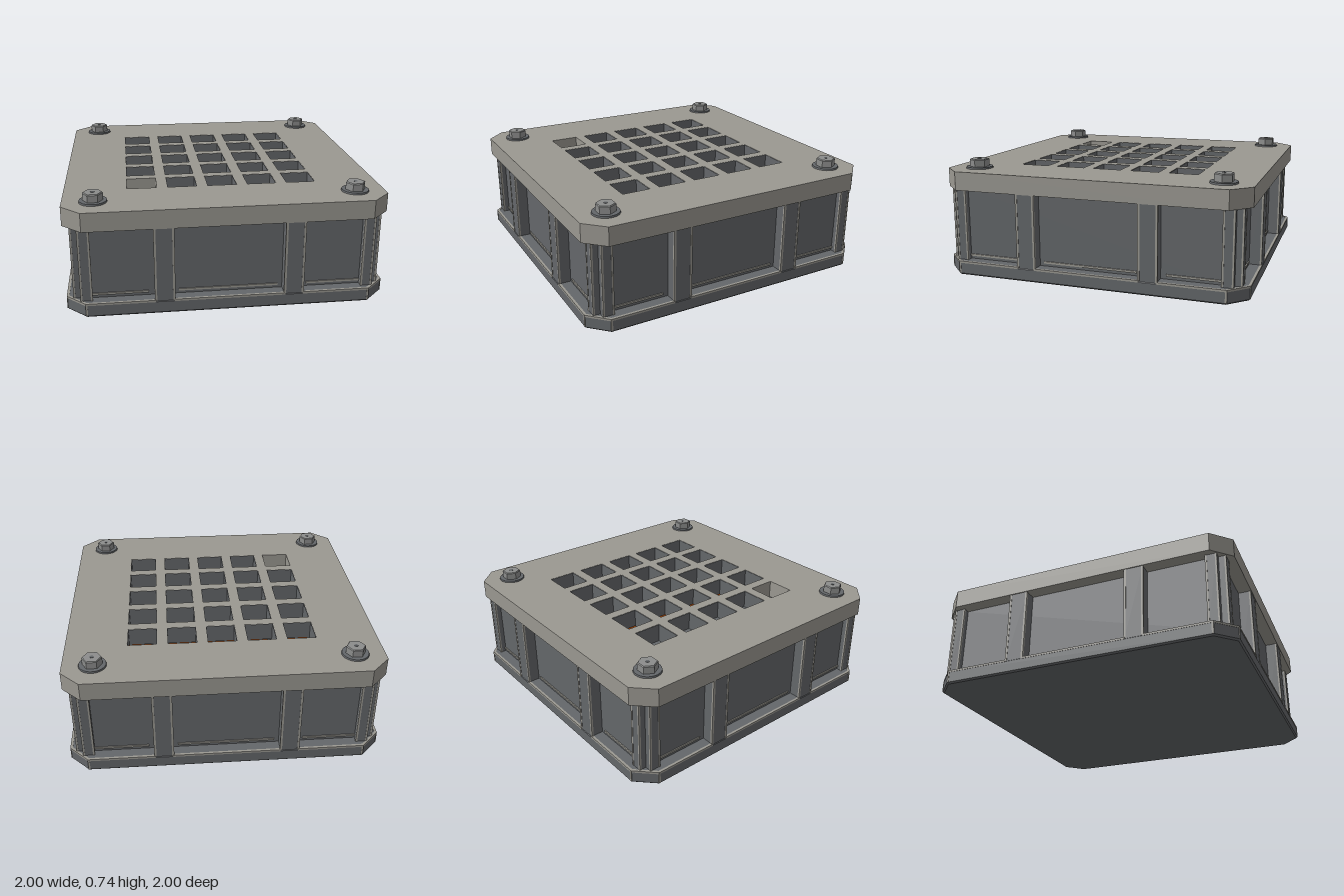
import * as THREE from 'three';

const mat = (name, color) => {
  const m = new THREE.MeshStandardMaterial({ color });
  m.name = name;
  return m;
};

// Square outline with cut corners, given its half width and where the cut starts
function octagon(h, c) {
  return new THREE.Shape([
    [c, -h], [h, -c], [h, c], [c, h], [-c, h], [-h, c], [-h, -c], [-c, -h],
  ].map(([x, y]) => new THREE.Vector2(x, y)));
}

// Square path used for holes and liners
function square(Type, x, y, h) {
  return new Type([[-h, -h], [h, -h], [h, h], [-h, h]]
    .map(([a, b]) => new THREE.Vector2(x + a, y + b)));
}

// Extrude an outline upwards from y0 to y1
function slab(shape, y0, y1) {
  const g = new THREE.ExtrudeGeometry(shape, { depth: y1 - y0, bevelEnabled: false });
  return g.rotateX(-Math.PI / 2).translate(0, y0, 0);
}

export function createModel() {
  const model = new THREE.Group();
  model.name = 'ventedBox';
  const lidGrey = mat('lid grey', 0x9a9891);
  const bodyGrey = mat('body grey', 0x64676a);
  const rust = mat('rust orange', 0x7d3200);
  const steel = mat('bolt steel', 0x8c8d8c);

  const add = (parent, name, geometry, material) => {
    const m = new THREE.Mesh(geometry, material);
    m.name = name;
    parent.add(m);
    return m;
  };
  // Box given by its limits on each axis
  const block = (parent, name, material, x0, x1, y0, y1, z0, z1) => {
    const g = new THREE.BoxGeometry(x1 - x0, y1 - y0, z1 - z0);
    g.translate((x0 + x1) / 2, (y0 + y1) / 2, (z0 + z1) / 2);
    return add(parent, name, g, material);
  };

  // Base plate with a small lower bevel
  const base = new THREE.ExtrudeGeometry(octagon(0.988, 0.875), {
    depth: 0.07, bevelSize: 0.01, bevelThickness: 0.01, bevelSegments: 1,
  });
  add(model, 'basePlate', base.rotateX(-Math.PI / 2).translate(0, 0.01, 0), bodyGrey);

  // Recessed walls around the inner well
  const wall = octagon(0.915, 0.84);
  wall.holes.push(square(THREE.Path, 0, 0, 0.63));
  add(model, 'walls', slab(wall, 0.085, 0.56), bodyGrey);
  block(model, 'filter', rust, -0.63, 0.63, 0.09, 0.48, -0.63, 0.63);
  for (const s of [-1, 1]) {
    block(model, 'innerBeam', bodyGrey, s * 0.4 - 0.06, s * 0.4 + 0.06, 0.48, 0.558, -0.63, 0.63);
  }

  // Posts and worn edges of one wall, repeated on four sides
  const w = 0.007; // half width of a worn edge
  for (let i = 0; i < 4; i++) {
    const side = new THREE.Group();
    side.name = 'wallSide';
    side.rotation.y = i * Math.PI / 2;
    model.add(side);
    for (const s of [-1, 1]) {
      const x = s * 0.4;
      block(side, 'post', bodyGrey, x - 0.06, x + 0.06, 0.07, 0.56, 0.9, 0.994);
      for (const t of [-1, 1]) {
        const c = x + t * 0.056;
        block(side, 'postEdge', lidGrey, c - w, c + w, 0.085, 0.56, 0.983, 0.996);
      }
      block(side, 'baseCornerEdge', lidGrey, s * 0.876 - 0.006, s * 0.876 + 0.006, 0.012, 0.085, 0.985, 1);
    }
    for (const [a, b, inset] of [[-0.88, -0.455, 0.04], [-0.345, 0.345, 0.035], [0.455, 0.88, 0.04]]) {
      block(side, 'baseEdge', lidGrey, a, b, 0.079, 0.092, 0.984, 1);
      block(side, 'panelTrim', lidGrey, a + inset, b - inset, 0.108, 0.121, 0.91, 0.922);
    }

    // Stepped corner post with worn vertical edges
    block(side, 'cornerPost', bodyGrey, 0.84, 0.955, 0.07, 0.56, 0.84, 0.91);
    block(side, 'cornerPost', bodyGrey, 0.84, 0.91, 0.07, 0.56, 0.9, 0.955);
    for (const [x, z] of [[0.844, 0.951], [0.906, 0.951], [0.951, 0.906], [0.951, 0.844]]) {
      block(side, 'cornerPostEdge', lidGrey, x - 0.006, x + 0.006, 0.085, 0.56, z - 0.006, z + 0.006);
    }

    // Worn top edge of the cut corner of the base
    const corner = new THREE.Group();
    corner.name = 'corner';
    corner.rotation.y = i * Math.PI / 2 + Math.PI / 4;
    model.add(corner);
    block(corner, 'cornerBaseEdge', lidGrey, -0.084, 0.084, 0.079, 0.092, 1.313, 1.3293);
  }

  // Lid with a five by five grille
  const lid = octagon(1, 0.88);
  const grid = [-2, -1, 0, 1, 2].map((n) => n * 0.256);
  for (const x of grid) {
    for (const z of grid) {
      lid.holes.push(square(THREE.Path, x, -z, 0.0945));
      if (x < -0.5 && z > 0.5) continue; // one opening is left bare
      const ring = square(THREE.Shape, x, -z, 0.0947);
      ring.holes.push(square(THREE.Path, x, -z, 0.092));
      add(model, 'openingLiner', slab(ring, 0.561, 0.678), bodyGrey);
    }
  }
  add(model, 'lid', slab(lid, 0.56, 0.68), lidGrey);

  // Hex bolts with washers
  for (const x of [-0.81, 0.81]) {
    for (const z of [-0.81, 0.81]) {
      const bolt = new THREE.Group();
      bolt.name = 'bolt';
      bolt.position.set(x, 0.68, z);
      model.add(bolt);
      const disc = (name, r0, r1, y0, y1, n, m) => add(bolt, name,
        new THREE.CylinderGeometry(r1, r0, y1 - y0, n).translate(0, (y0 + y1) / 2, 0), m);
      disc('washer', 0.086, 0.084, 0, 0.011, 32, bodyGrey);
      for (const [r0, r1, y0, y1] of [[0.062, 0.062, 0.011, 0.055], [0.062, 0.057, 0.055, 0.061]]) {
        const head = disc('boltHead', r0, r1, y0, y1, 6, steel);
        head.geometry = head.geometry.toNonIndexed();
        head.geometry.computeVertexNormals();
        head.rotation.y = Math.PI / 2;
      }
      disc('boltCentre', 0.012, 0.012, 0.06, 0.063, 12, bodyGrey);
    }
  }
  return model;
}
